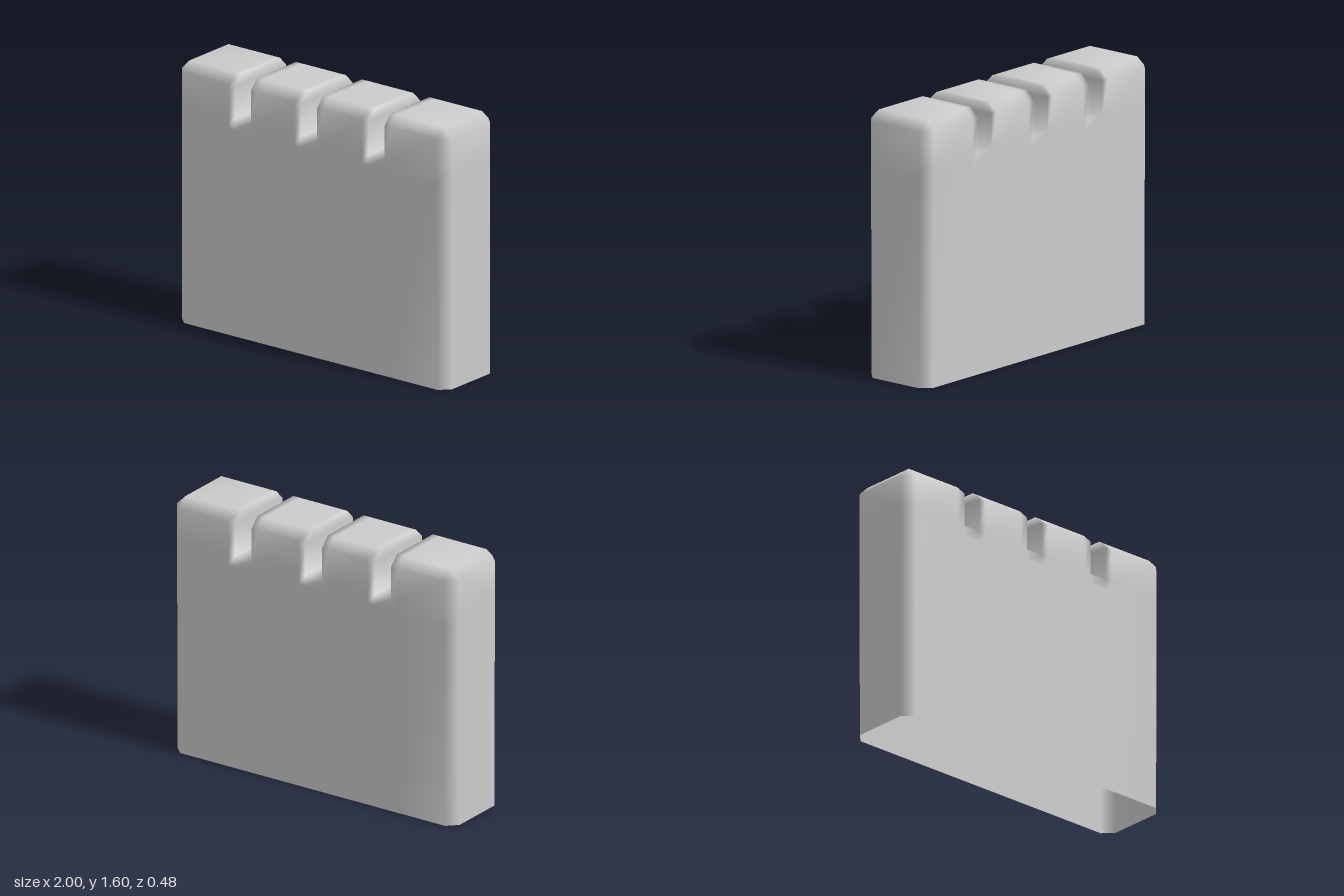
import * as THREE from 'three';
import { mergeVertices } from 'three/addons/utils/BufferGeometryUtils.js';

const HEIGHT = 1.6, HALF_DEPTH = 0.24, BEVEL = 0.06, FLOOR = 1.335, BLEND = 1.27;
const NOTCHES = [[-0.56, -0.44], [-0.07, 0.05], [0.43, 0.55]];
const SOFT = 0.045; // width of the soft shading beside each notch

// Arch-shaped cross-section at x: front bottom, over the top, to back bottom
function section(x) {
  const end = Math.abs(x) > 0.99;
  const z = end ? HALF_DEPTH - BEVEL : HALF_DEPTH;
  const top = end ? HEIGHT - BEVEL : HEIGHT;
  const half = [
    [0, z - 0.004], [BLEND, z], [FLOOR, z],
    [HEIGHT - BEVEL, z], [top, HALF_DEPTH - BEVEL],
  ];
  const front = half.map(([y, d]) => new THREE.Vector3(x, y, d));
  const back = half.map(([y, d]) => new THREE.Vector3(x, y, -d)).reverse();
  return [...front, ...back];
}

function wallGeometry() {
  const positions = [];
  const tri = (...corners) => {
    const area = new THREE.Triangle(...corners).getArea();
    if (area > 1e-7) corners.forEach((p) => positions.push(p.x, p.y, p.z));
  };
  const quad = (a, b, c, d) => { tri(a, b, c); tri(a, c, d); };
  // Flat face across a section, facing +x (side 1) or -x (side -1)
  const face = (s, first, side) => {
    for (let i = first; i < 4; i++) {
      const [a, b, c, d] = [s[i], s[9 - i], s[8 - i], s[i + 1]];
      if (side > 0) quad(a, b, c, d);
      else quad(a, d, c, b);
    }
  };

  const xs = [-1, -0.94];
  NOTCHES.forEach(([l, r]) => xs.push(l - SOFT, l, r, r + SOFT));
  xs.push(0.94, 1);
  const sections = xs.map(section);

  // Outer skin, dropping to the notch floor where there is a gap
  for (let i = 0; i < xs.length - 1; i++) {
    const notch = NOTCHES.some(([l]) => l === xs[i]);
    const rows = notch ? [0, 1, 2, 7, 8, 9] : [0, 1, 2, 3, 4, 5, 6, 7, 8, 9];
    const a = sections[i], b = sections[i + 1];
    for (let k = 0; k < rows.length - 1; k++) {
      const p = rows[k], q = rows[k + 1];
      quad(a[p], b[p], b[q], a[q]);
    }
    // Side walls of the notch
    if (notch) {
      face(a, 2, 1);
      face(b, 2, -1);
    }
  }

  // End faces; the underside stays open
  face(sections[0], 0, -1);
  face(sections[sections.length - 1], 0, 1);

  const geometry = new THREE.BufferGeometry();
  geometry.setAttribute('position', new THREE.Float32BufferAttribute(positions, 3));
  const smooth = mergeVertices(geometry, 1e-4);
  smooth.computeVertexNormals();
  return smooth;
}

export function createModel() {
  const stone = new THREE.MeshStandardMaterial({ color: 0xcccccc, side: THREE.DoubleSide });
  stone.name = 'light grey stone';
  const wall = new THREE.Mesh(wallGeometry(), stone);
  wall.name = 'notchedWall';
  const group = new THREE.Group();
  group.name = 'battlementWall';
  group.add(wall);
  return group;
}
